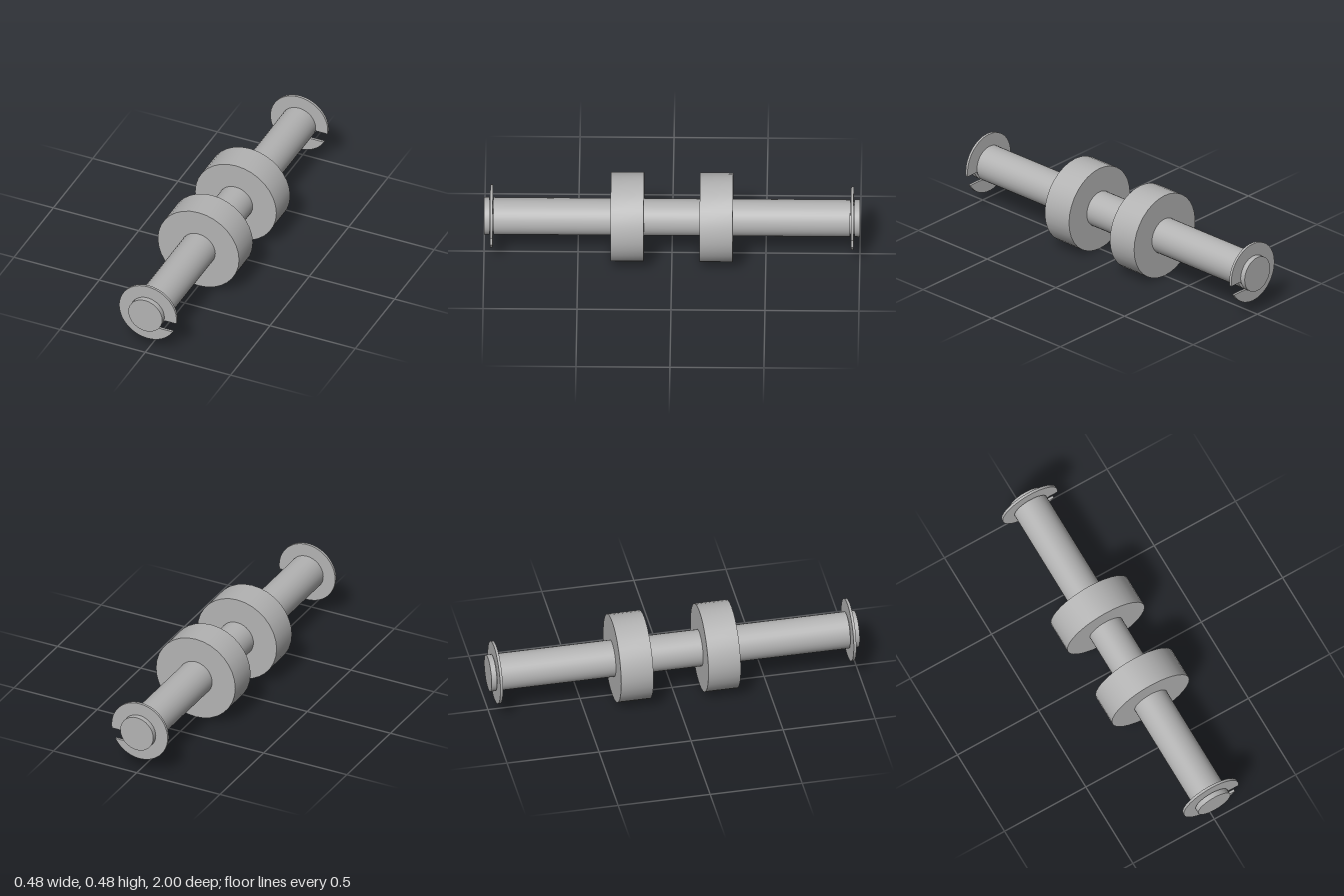
import * as THREE from 'three';
import { toCreasedNormals } from 'three/addons/utils/BufferGeometryUtils.js';

const SIDES = 32;
const AXIS_Y = 0.238;

const steel = new THREE.MeshStandardMaterial({ color: 0xb3b3b3 });
steel.name = 'grey steel';

// Solid of revolution about the z axis from [radius, z] pairs, with sharp edges
function turned(name, profile) {
  const points = profile.map(([r, z]) => new THREE.Vector2(r, z));
  const geometry = new THREE.LatheGeometry(points, SIDES);
  geometry.rotateX(Math.PI / 2);
  const mesh = new THREE.Mesh(toCreasedNormals(geometry, 0.6), steel);
  mesh.name = name;
  return mesh;
}

// Flat open ring with a parallel-sided slot on its +x side
function retainingClip(name, z) {
  const outer = 0.168, inner = 0.086, slotTop = -0.024, slotBottom = -0.083;
  const thickness = 0.014;
  const angle = (y, r) => Math.asin(y / r);
  const turn = Math.PI * 2;
  const shape = new THREE.Shape();
  shape.absarc(0, 0, outer, angle(slotTop, outer), angle(slotBottom, outer) + turn, false);
  shape.absarc(0, 0, inner, angle(slotBottom, inner) + turn, angle(slotTop, inner), true);
  shape.closePath();
  const geometry = new THREE.ExtrudeGeometry(shape, {
    depth: thickness, bevelEnabled: false, curveSegments: SIDES,
  });
  geometry.translate(0, 0, -thickness / 2);
  const mesh = new THREE.Mesh(toCreasedNormals(geometry, 0.6), steel);
  mesh.name = name;
  mesh.position.z = z;
  return mesh;
}

export function createModel() {
  const model = new THREE.Group();
  model.name = 'axleAssembly';
  const axle = new THREE.Group();
  axle.name = 'axle';
  axle.position.y = AXIS_Y;
  model.add(axle);

  // Shaft with a narrow groove near each end
  const R = 0.099, G = 0.086;
  const half = [[R, 0.949], [G, 0.949], [G, 0.971], [R, 0.971], [R, 1], [0, 1]];
  const otherHalf = half.map(([r, z]) => [r, -z]).reverse();
  // turned() maps the profile's second value to +z
  axle.add(turned('shaft', [...otherHalf, ...half]));

  // Mirrored rollers and the clips seated in the grooves
  for (const [side, label] of [[1, 'front'], [-1, 'back']]) {
    const roller = turned(label + 'Roller', [
      [R, -0.088], [0.238, -0.088], [0.238, 0.088], [R, 0.088],
    ]);
    roller.position.z = side * 0.237;
    axle.add(roller, retainingClip(label + 'Clip', side * 0.96));
  }
  return model;
}
